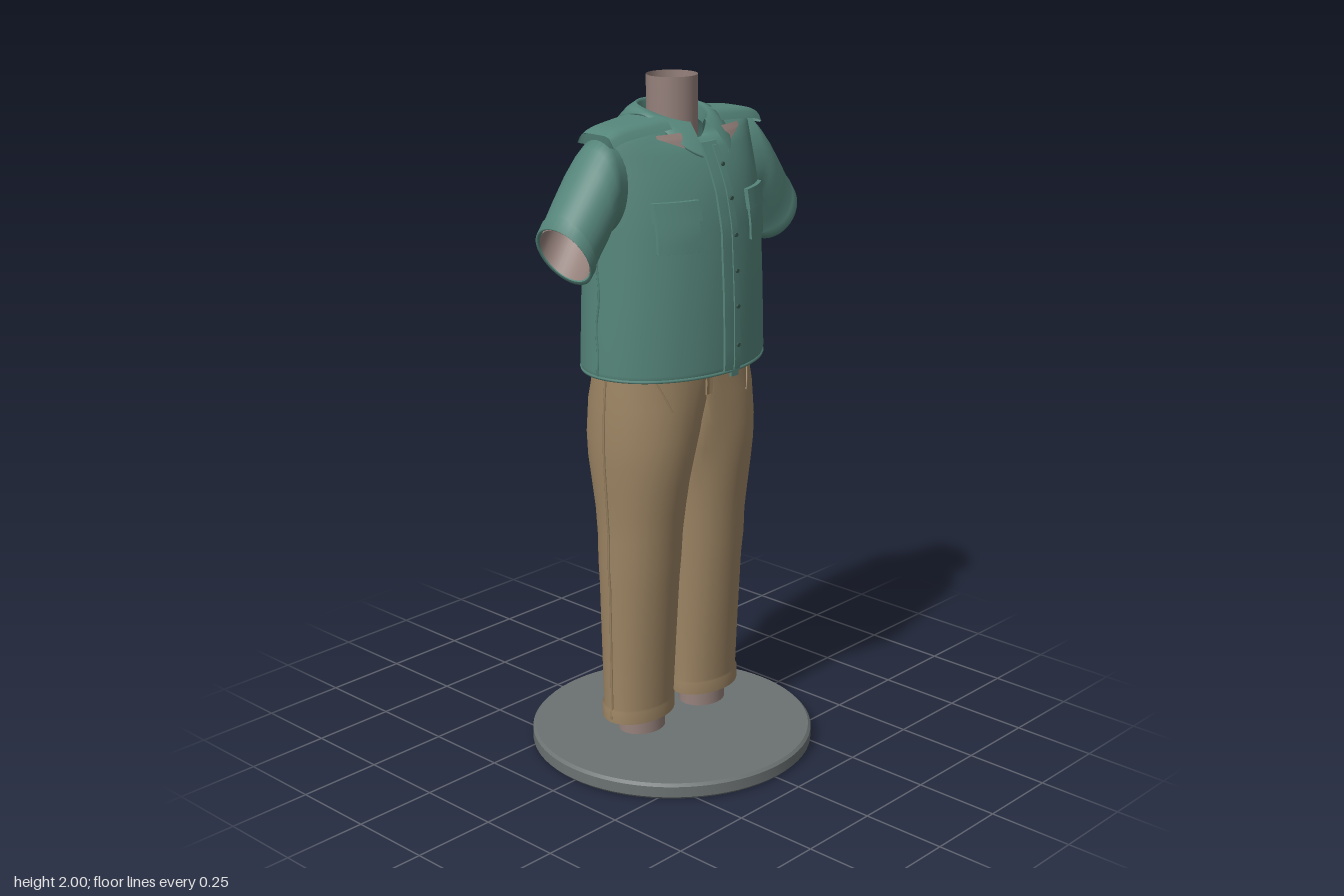
import * as THREE from 'three';
import { toCreasedNormals } from 'three/addons/utils/BufferGeometryUtils.js';

const mat = (name, color) => {
  const m = new THREE.MeshStandardMaterial({ color, side: THREE.DoubleSide });
  m.name = name;
  return m;
};
const { lerp } = THREE.MathUtils;
const TAU = Math.PI * 2;

// Smooth surface through rows of [x, y, z] points; closed joins each row into a loop
function grid(rows, closed = false) {
  const n = rows[0].length, index = [];
  for (let r = 0; r < rows.length - 1; r++) {
    for (let i = 0; i < (closed ? n : n - 1); i++) {
      const j = (i + 1) % n, a = r * n + i, b = r * n + j;
      index.push(a, a + n, b, b, a + n, b + n);
    }
  }
  const g = new THREE.BufferGeometry();
  g.setAttribute('position', new THREE.Float32BufferAttribute(rows.flat(2), 3));
  g.setIndex(index);
  g.computeVertexNormals();
  return g;
}
const steps = (n, f) => Array.from({ length: n + 1 }, (_, i) => f(i / n));
const loop = (n, f) => Array.from({ length: n }, (_, i) => f((i / n) * TAU));

// Interpolated row of a table whose first column is height
function rowAt(table, y) {
  let i = 0;
  while (i < table.length - 2 && table[i + 1][0] < y) i++;
  const a = table[i], b = table[i + 1], t = (y - a[0]) / (b[0] - a[0]);
  return a.map((v, k) => lerp(v, b[k], t));
}

// Shirt sections: height, half width, front depth, back depth, front neckline dip
const SHIRT = [
  [1.195, 0.298, 0.222, 0.208, 0], [1.21, 0.302, 0.226, 0.212, 0], [1.4, 0.296, 0.222, 0.208, 0],
  [1.6, 0.291, 0.211, 0.199, 0], [1.7, 0.288, 0.19, 0.182, 0], [1.76, 0.287, 0.166, 0.167, 0],
  [1.81, 0.286, 0.142, 0.145, 0], [1.845, 0.286, 0.122, 0.12, 0.015], [1.865, 0.282, 0.105, 0.103, 0.03],
  [1.882, 0.19, 0.1, 0.1, 0.045], [1.895, 0.095, 0.092, 0.095, 0.065],
];
const shirtPoint = ([y, rx, zf, zb, dip], a) => {
  const s = Math.sin(a);
  return [rx * Math.cos(a), y - dip * Math.max(0, s) ** 4, s * (s > 0 ? zf : zb)];
};
const shirtZ = (x, y, side) => {
  const [, rx, zf, zb] = rowAt(SHIRT, y);
  return side * (side > 0 ? zf : zb) * Math.sqrt(Math.max(0, 1 - (x / rx) ** 2));
};

// Trouser leg sections: height, outer x, centre x, inner x, front depth, back depth
const LEG = [
  [0.13, 0.26, 0.14, 0.02, 0.085, 0.098], [0.168, 0.26, 0.14, 0.018, 0.085, 0.1],
  [0.172, 0.255, 0.139, 0.022, 0.081, 0.096], [0.35, 0.257, 0.137, 0.018, 0.093, 0.103],
  [0.55, 0.259, 0.135, 0.014, 0.108, 0.112], [0.62, 0.264, 0.135, 0.011, 0.116, 0.113],
  [0.7, 0.262, 0.134, 0.009, 0.122, 0.118], [0.78, 0.267, 0.132, 0.004, 0.133, 0.124],
  [0.86, 0.272, 0.13, -0.004, 0.145, 0.141], [0.93, 0.277, 0.126, -0.022, 0.154, 0.156],
  [1.0, 0.279, 0.12, -0.05, 0.157, 0.163], [1.1, 0.276, 0.1, -0.12, 0.154, 0.163],
  [1.2, 0.268, 0.06, -0.25, 0.143, 0.153], [1.3, 0.258, 0.03, -0.25, 0.138, 0.145],
];
const legPoint = ([y, o, c, i, zf, zb], a) => {
  const k = Math.cos(a), s = Math.sin(a);
  return [Math.max(0, c + k * (k > 0 ? o - c : c - i)), y, s * (s > 0 ? zf : zb)];
};
const legZ = (x, y, side) => {
  const [, o, c, i, zf, zb] = rowAt(LEG, y), d = Math.abs(x) - c;
  const k = d > 0 ? d / (o - c) : d / (c - i);
  return side * (side > 0 ? zf : zb) * Math.sqrt(Math.max(0, 1 - k * k));
};

// Raised cloth panel lying on a surface
function panel(zAt, side, x0, x1, y0, y1, lift) {
  const nx = 8, ny = Math.max(4, Math.round((y1 - y0) / 0.03));
  const edge = (t) => [0, 0.001, ...steps(t, (u) => u), 0.999, 1];
  return grid(edge(ny).map((v, r, R) => edge(nx).map((u, c, C) => {
    const x = lerp(x0, x1, u), y = lerp(y0, y1, v);
    const rim = r === 0 || c === 0 || r === R.length - 1 || c === C.length - 1;
    return [x, y, zAt(x, y, side) + side * (rim ? -0.002 : lift)];
  })));
}
const cord = (pts, r) => new THREE.TubeGeometry(
  new THREE.CatmullRomCurve3(pts.map((p) => new THREE.Vector3(...p))), pts.length * 4, r, 5);

export function createModel() {
  const model = new THREE.Group();
  const shirt = mat('shirt green', 0x55857a), pants = mat('trouser tan', 0x9c8463);
  const body = mat('mannequin taupe', 0x94807a), stand = mat('stand grey', 0x6c7272);
  const button = mat('button dark green', 0x38554e);
  const add = (name, geo, m) => {
    const mesh = new THREE.Mesh(geo, m);
    mesh.name = name;
    model.add(mesh);
    return mesh;
  };

  // Display base and neck
  const disc = [[0, 0], [0.412, 0], [0.42, 0.008], [0.42, 0.04], [0.412, 0.048], [0, 0.048]];
  add('base', toCreasedNormals(new THREE.LatheGeometry(disc.map((p) => new THREE.Vector2(...p)), 72), 0.6), stand);
  add('neck', new THREE.CylinderGeometry(0.072, 0.072, 0.24, 40, 1, true).translate(0, 1.88, 0), body);

  // Shirt shell, front placket, back seam and hem
  add('shirtBody', grid(SHIRT.map((r) => loop(72, (a) => shirtPoint(r, a))), true), shirt);
  add('placket', panel(shirtZ, 1, -0.03, 0.03, 1.2, 1.83, 0.007), shirt);
  add('placketEdge', panel(shirtZ, 1, 0.005, 0.028, 1.2, 1.82, 0.011), shirt);
  add('placketTail', new THREE.BoxGeometry(0.03, 0.025, 0.008).translate(0.017, 1.19, 0.222), shirt);
  add('backSeam', panel(shirtZ, -1, -0.003, 0.003, 1.2, 1.82, 0.003), shirt);
  add('shirtHem', cord(steps(48, (t) => shirtPoint(SHIRT[0], t * TAU)), 0.005), shirt);
  for (const y of [1.27, 1.38, 1.48, 1.58, 1.68, 1.77]) {
    add('button', new THREE.CylinderGeometry(0.006, 0.006, 0.006, 12).rotateX(Math.PI / 2)
      .translate(0.017, y, shirtZ(0.017, y, 1) + 0.013), button);
  }

  // Turned-down collar, open at the front
  const gap = 0.3;
  add('collar', grid(steps(64, (t) => {
    const p = lerp(gap, TAU - gap, t), c = Math.cos(p), f = (1 + c) / 2, c2 = c * c;
    const out = 0.128 + (c > 0 ? 0.052 : 0.034) * c2;
    const low = 1.905 - (c > 0 ? 0.115 : 0.04) * c2, top = 1.925 - 0.045 * f * f;
    const at = (r, y) => [r * Math.sin(p), y, r * c];
    return [at(0.092, top - 0.045), at(0.094, top - 0.008), at(0.1, top),
      at(lerp(0.1, out, 0.5), lerp(top, low, 0.38)), at(out, low), at(out - 0.006, low - 0.006)];
  })), shirt);

  // Skin showing beneath the collar at the back
  add('backSkin', grid(steps(5, (v) => steps(28, (u) => {
    const x = lerp(-0.16, 0.16, u), w = 1 - (2 * u - 1) ** 2;
    const y = lerp(1.845 - 0.028 * w, 1.862, v);
    return [x, y + 0.001, shirtZ(x, y, -1) - 0.004];
  }))), body);

  for (const s of [1, -1]) {
    const flip = (name, geo, m) => { add(name, geo, m).scale.x = s; };

    // Skin showing beside each collar point
    flip('frontSkin', grid(steps(6, (v) => steps(8, (u) => {
      const x = lerp(0.075, 0.165, u), y = lerp(1.815 + 0.036 * u, 1.86, v);
      return [x, y, shirtZ(x, y, 1) + 0.005];
    }))), body);

    // Shoulder yoke with a turned-down outer edge
    flip('shoulderYoke', grid(steps(10, (u) => steps(16, (v) => {
      const w = 2 * v - 1;
      return [lerp(0.1, 0.298, u), lerp(1.9, 1.882, u) - 0.03 * w ** 6 - 0.012 * u ** 8,
        w * lerp(0.094, 0.069, u)];
    }))), shirt);
    flip('yokeEdge', grid([1.87, 1.838].map((y, i) => steps(8, (v) =>
      [0.298 - 0.006 * i, y - 0.03 * (2 * v - 1) ** 6 * (1 - i), (2 * v - 1) * 0.069]))), shirt);

    // Short sleeve: upper edge x, y, lower edge x, y, half depth
    const ring = ([tx, ty, bx, by, rz]) => loop(36, (a) => {
      const t = (1 - Math.cos(a)) / 2;
      return [lerp(tx, bx, t), lerp(ty, by, t), Math.sin(a) * rz];
    });
    const sleeve = [
      [0.23, 1.845, 0.24, 1.58, 0.075], [0.288, 1.862, 0.29, 1.595, 0.088], [0.315, 1.835, 0.305, 1.585, 0.095],
      [0.35, 1.795, 0.322, 1.56, 0.097], [0.4, 1.73, 0.346, 1.525, 0.094], [0.441, 1.672, 0.364, 1.497, 0.092],
      [0.445, 1.67, 0.363, 1.492, 0.097], [0.465, 1.64, 0.38, 1.475, 0.098], [0.459, 1.636, 0.384, 1.484, 0.091],
    ];
    flip('sleeve', grid(sleeve.map(ring), true), shirt);
    flip('arm', grid([[0.25, 1.72, 0.25, 1.72, 0], [0.26, 1.8, 0.26, 1.63, 0.07],
      [0.35, 1.76, 0.332, 1.58, 0.084], [0.453, 1.634, 0.385, 1.488, 0.088]].map(ring), true), body);

    // Chest pocket, flap and side seam
    flip('chestPocket', panel(shirtZ, 1, 0.102, 0.215, 1.55, 1.685, 0.008), shirt);
    flip('pocketFlap', panel(shirtZ, 1, 0.097, 0.22, 1.635, 1.69, 0.014), shirt);
    flip('shirtSideSeam', cord(steps(12, (t) => {
      const y = lerp(1.2, 1.6, t);
      return [rowAt(SHIRT, y)[1], y, 0.004 * Math.sin(t * 14)];
    }), 0.004), shirt);

    // Trouser leg, seams and pockets
    flip('trouserLeg', grid(LEG.map((r) => loop(56, (a) => legPoint(r, a))), true), pants);
    flip('trouserSideSeam', cord(steps(24, (t) => {
      const y = lerp(0.14, 1.25, t);
      return [rowAt(LEG, y)[1], y, 0];
    }), 0.004), pants);
    flip('frontPocketSeam', cord(steps(5, (t) => {
      const x = lerp(0.205, 0.155, t), y = lerp(1.22, 1.09, t);
      return [x, y, legZ(x, y, 1)];
    }), 0.003), pants);
    flip('backPocketWelt', panel(legZ, -1, 0.075, 0.165, 1.16, 1.178, 0.006), pants);

    // Mannequin leg end
    flip('ankle', new THREE.CylinderGeometry(0.07, 0.075, 0.14, 32, 1, true).scale(1, 1, 0.87)
      .translate(0.132, 0.15, 0), body);
  }
  add('fly', panel(legZ, 1, -0.012, 0.012, 1.11, 1.22, 0.004), pants);
  return model;
}
